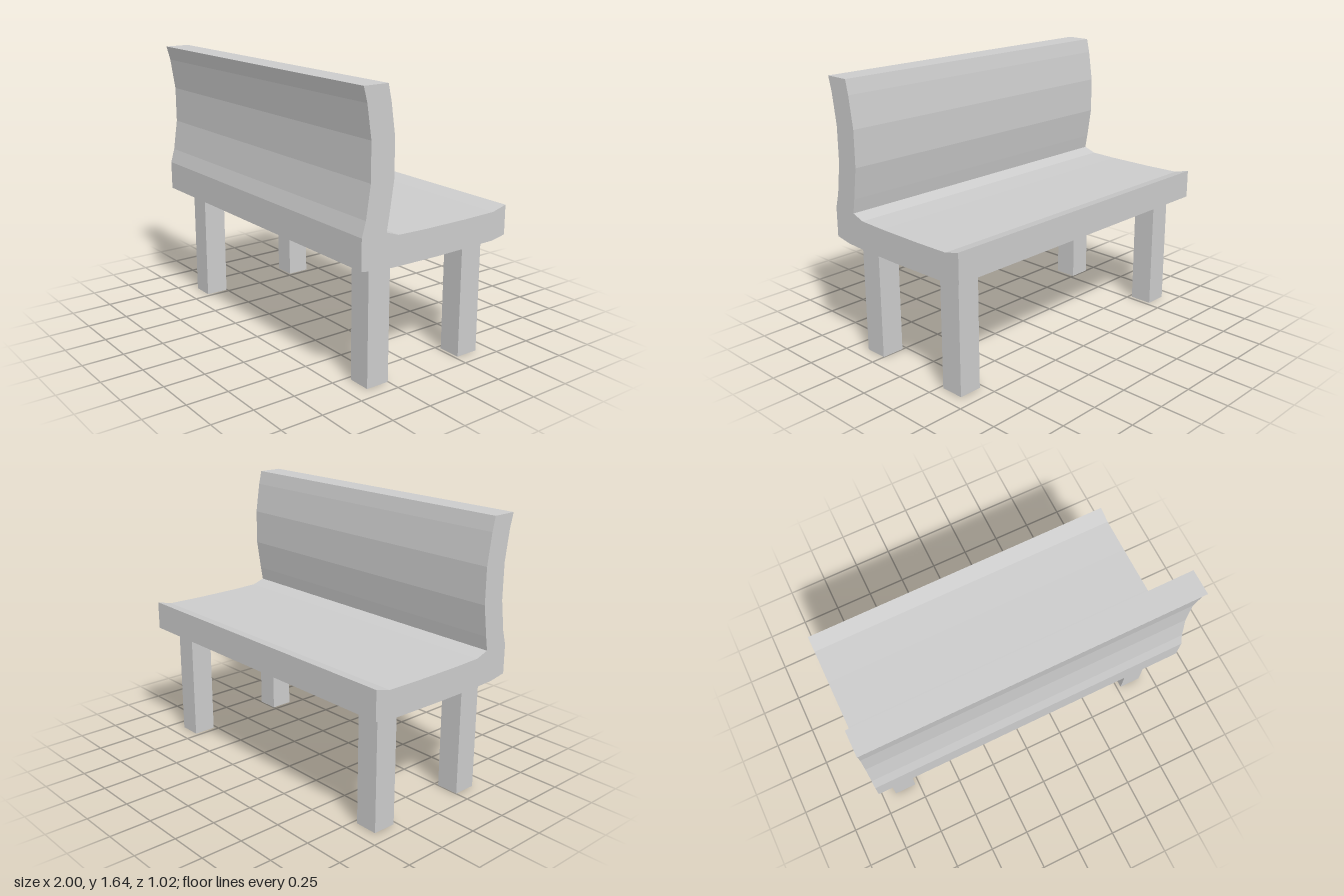
import * as THREE from 'three';

export function createModel() {
  const model = new THREE.Group();
  model.name = 'bench';
  const material = new THREE.MeshStandardMaterial({ color: 0xcccccc, flatShading: true });

  // Seat and backrest: one L-shaped side profile as [z, y], swept across the width
  const profile = [
    // underside, from the open edge to the back
    [-0.51, 0.71], [-0.415, 0.692], [0, 0.686], [0.27, 0.688], [0.4, 0.692], [0.51, 0.71],
    // outside of the backrest
    [0.51, 0.885], [0.485, 0.97], [0.457, 1.155], [0.457, 1.37], [0.485, 1.555], [0.508, 1.64],
    // inside of the backrest
    [0.355, 1.64], [0.335, 1.555], [0.307, 1.37], [0.307, 1.155], [0.335, 0.97], [0.35, 0.885],
    // top of the seat
    [0.27, 0.858], [0.1, 0.854], [-0.2, 0.854], [-0.415, 0.858], [-0.51, 0.883],
  ];
  const shape = new THREE.Shape(profile.map(([z, y]) => new THREE.Vector2(z, y)));
  const width = 2;
  const seatGeometry = new THREE.ExtrudeGeometry(shape, { depth: width, bevelEnabled: false });
  seatGeometry.translate(0, 0, -width / 2).rotateY(-Math.PI / 2);
  const seat = new THREE.Mesh(seatGeometry, material);
  seat.name = 'seatAndBackrest';
  model.add(seat);

  // Four square legs, reaching slightly into the seat
  const legHeight = 0.72;
  const legGeometry = new THREE.BoxGeometry(0.14, legHeight, 0.143);
  for (const [sideName, x] of [['Left', 0.846], ['Right', -0.846]]) {
    for (const [rowName, z] of [['backrestLeg', 0.323], ['openSideLeg', -0.342]]) {
      const leg = new THREE.Mesh(legGeometry, material);
      leg.name = rowName + sideName;
      leg.position.set(x, legHeight / 2, z);
      model.add(leg);
    }
  }
  return model;
}
